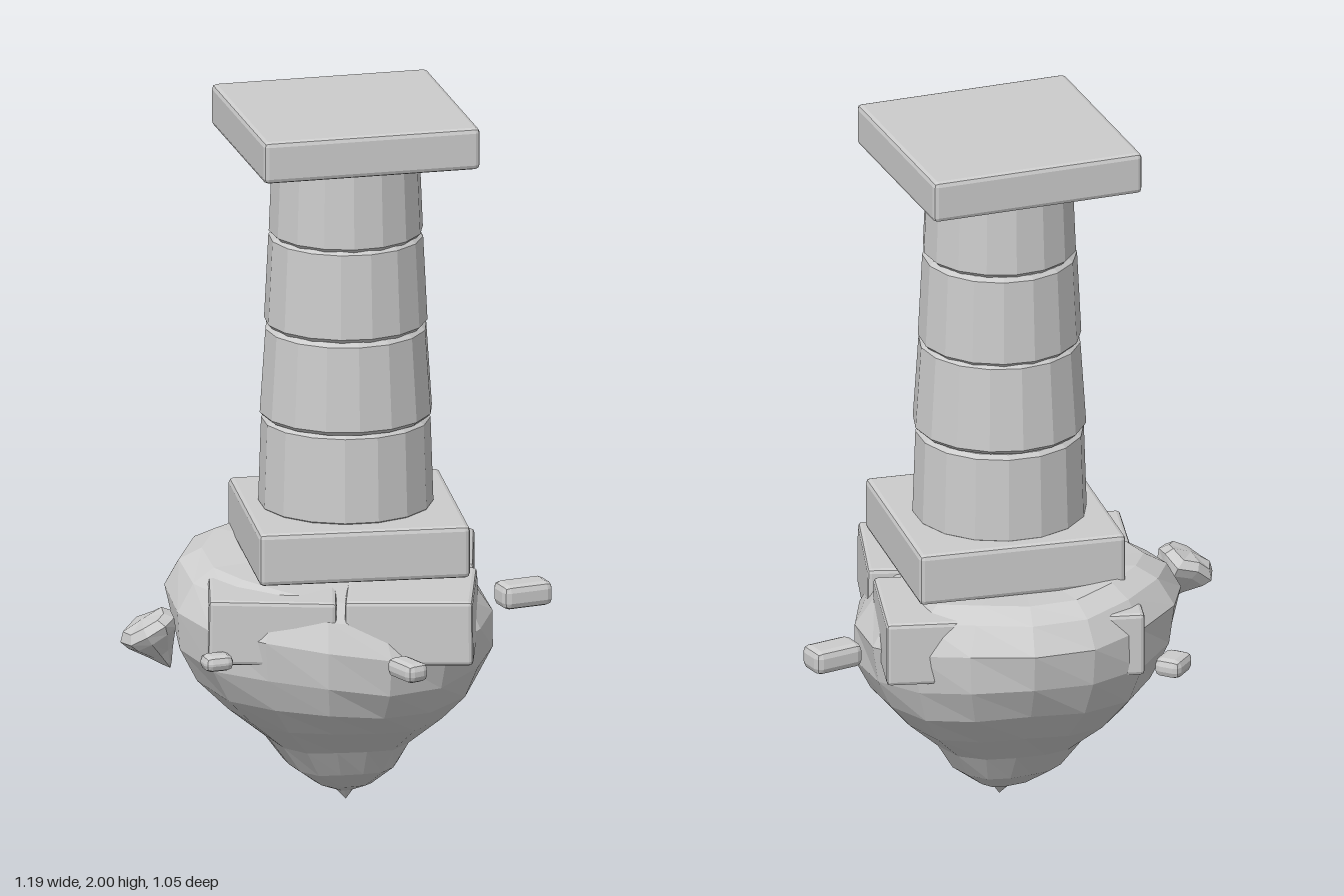
import * as THREE from 'three';
import { RoundedBoxGeometry } from 'three/addons/geometries/RoundedBoxGeometry.js';

const stone = new THREE.MeshStandardMaterial({ color: 0xcccccc, flatShading: true });
stone.name = 'grey stone';

function add(group, name, geometry, x = 0, y = 0, z = 0) {
  const mesh = new THREE.Mesh(geometry, stone);
  mesh.name = name;
  mesh.position.set(x, y, z);
  group.add(mesh);
  return mesh;
}

// Box with a narrow chamfer along every edge
const slab = (w, h, d, bevel) => new RoundedBoxGeometry(w, h, d, 1, bevel);

// Faceted solid of revolution, profile given from bottom to top as [radius, y]
const turned = (profile, sides) =>
  new THREE.LatheGeometry(profile.map(([r, y]) => new THREE.Vector2(r, y)), sides);

// Move every vertex by a rule
function reshape(geometry, rule) {
  const p = geometry.attributes.position;
  const v = new THREE.Vector3();
  for (let i = 0; i < p.count; i++) {
    rule(v.fromBufferAttribute(p, i));
    p.setXYZ(i, v.x, v.y, v.z);
  }
  geometry.computeVertexNormals();
  return geometry;
}

// Chisel a turned solid with waves that close on themselves
const roughen = (geometry, amount, lift) => reshape(geometry, (v) => {
  const a = Math.atan2(v.x, v.z);
  const k = 1 + amount * 0.5 * (Math.sin(3 * a + v.y * 9) + Math.sin(5 * a - v.y * 14));
  v.y += lift * Math.hypot(v.x, v.z) * Math.sin(4 * a + v.y * 5);
  v.x *= k;
  v.z *= k;
});

export function createModel() {
  const model = new THREE.Group();
  model.name = 'floatingColumn';
  const cx = 0.02, cz = -0.04;

  // Floating rock base, tapering to a point
  const rock = roughen(turned([
    [0, 0], [0.025, 0.03], [0.085, 0.055], [0.16, 0.11], [0.215, 0.19], [0.32, 0.28],
    [0.397, 0.365], [0.443, 0.46], [0.455, 0.57], [0.408, 0.65], [0.345, 0.69], [0, 0.705],
  ], 16), 0.028, 0.025);
  // The tip leans to the column axis and the crown rises to the back right
  reshape(rock, (v) => {
    const t = Math.min(1, v.y / 0.4);
    v.y -= 0.08 * t * t * (v.x + v.z);
    v.x += 0.02 - 0.045 * t;
    v.z += -0.035 - 0.03 * t;
  });
  add(model, 'rockBase', rock);

  // Four foundation blocks sunk into the rock
  for (const [x, z, turn, tilt] of [
    [-0.184, 0.162, 0.015, -0.02], [0.203, 0.158, -0.03, 0.01],
    [0.197, -0.232, 0, 0], [-0.166, -0.232, 0.015, 0],
  ]) {
    const block = add(model, 'foundationBlock', slab(0.355, 0.185, 0.355, 0.012), x, 0.583, z);
    block.rotation.set(0, turn, tilt);
  }

  // Plinth and capital slab
  add(model, 'plinth', slab(0.592, 0.15, 0.592, 0.014), 0.03, 0.785, -0.03).rotation.y = 0.155;
  add(model, 'capital', slab(0.618, 0.12, 0.618, 0.014), cx, 1.94, cz).rotation.y = 0.25;

  // Column drums with chamfered rims
  [[0.85, 0.243, 0.235], [1.115, 0.242, 0.226], [1.375, 0.227, 0.215], [1.635, 0.215, 0.205]]
    .forEach(([y, r0, r1], i) => {
      const h = 0.264, b = 0.012;
      const drum = add(model, 'columnDrum', turned([
        [0, 0], [r0 - b, 0], [r0, b], [r1, h - b], [r1 - b, h], [0, h],
      ], 16), cx, y, cz);
      drum.rotation.set(0.006 * (i % 2 ? 1 : -1), i * 0.17, 0);
    });

  // Loose chips hovering around the base
  for (const [x, y, z, w, h, d, turn] of [
    [0.51, 0.53, -0.26, 0.15, 0.07, 0.092, 0.43],
    [-0.425, 0.52, -0.4, 0.08, 0.055, 0.1, -0.55],
    [0.195, 0.517, 0.455, 0.07, 0.055, 0.118, 0.6],
    [-0.335, 0.513, 0.37, 0.085, 0.046, 0.07, 0.35],
  ]) add(model, 'stoneChip', slab(w, h, d, 0.02), x, y, z).rotation.y = turn;

  // Small tilted rock fragment
  const fragment = roughen(turned([
    [0, -0.1], [0.014, -0.08], [0.036, -0.045], [0.074, 0.005], [0.086, 0.032], [0.066, 0.055], [0, 0.064],
  ], 9), 0.1, 0.08);
  add(model, 'rockFragment', fragment, -0.512, 0.537, 0.217).rotation.set(0.05, 0, 0.5);

  return model;
}
